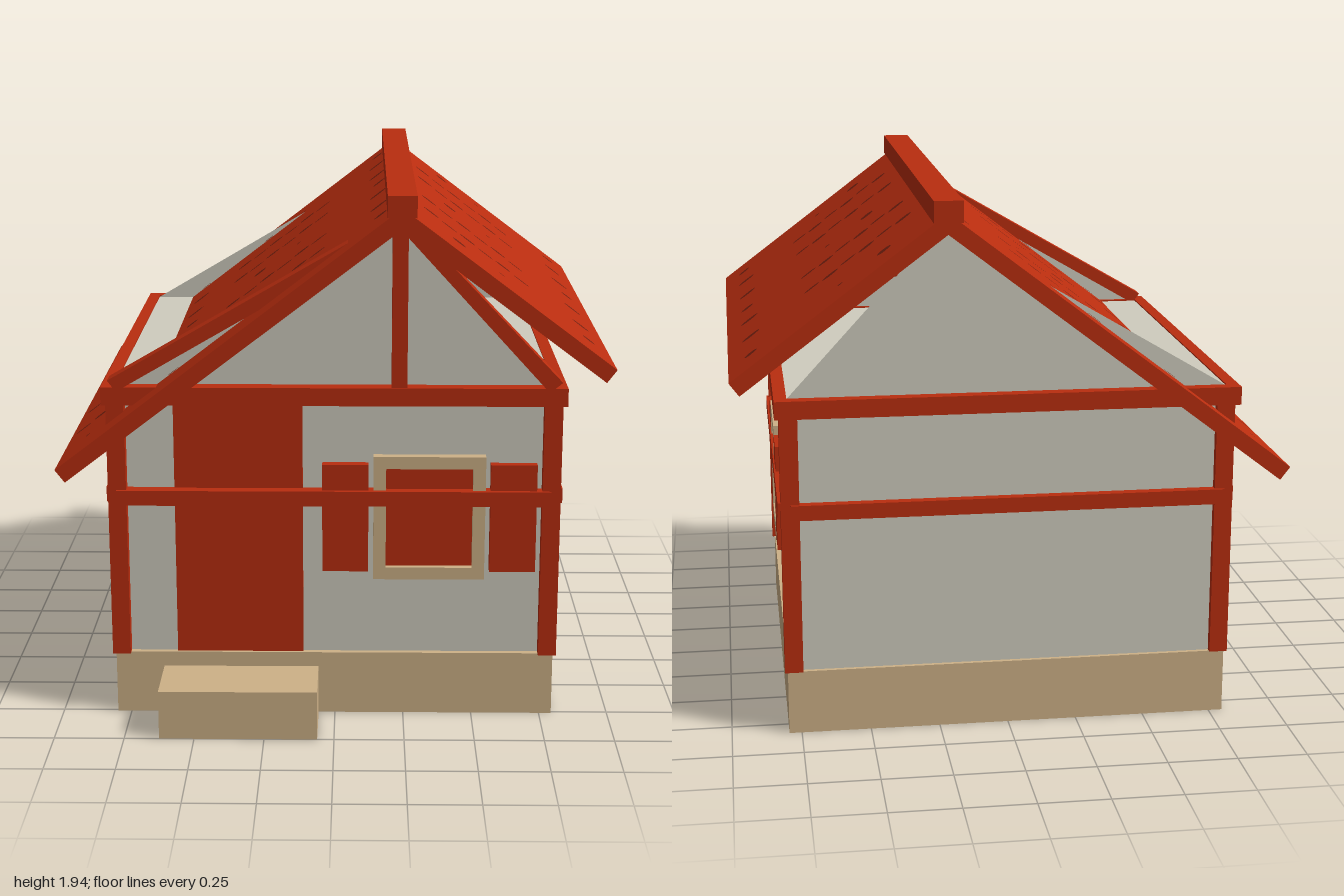
import * as THREE from 'three';

const material = (name, color) => {
  const m = new THREE.MeshStandardMaterial({ color, side: THREE.DoubleSide });
  m.name = name;
  return m;
};

export function createModel() {
  const red = material('red timber', 0xb92d0f);
  const cream = material('cream plaster', 0xcfccbe);
  const tan = material('tan stone', 0xcdb187);
  const brown = material('dark tile marks', 0x73200f);
  const house = new THREE.Group();
  house.name = 'house';

  // Box given by its limits on each axis
  const box = (name, mat, [x0, x1], [y0, y1], [z0, z1], parent = house) => {
    const mesh = new THREE.Mesh(new THREE.BoxGeometry(x1 - x0, y1 - y0, z1 - z0), mat);
    mesh.position.set((x0 + x1) / 2, (y0 + y1) / 2, (z0 + z1) / 2);
    mesh.name = name;
    parent.add(mesh);
    return mesh;
  };

  // Base, step and walls
  box('foundation', tan, [-0.8, 0.795], [0, 0.235], [-0.83, 0.76]);
  box('frontStep', tan, [-0.625, -0.06], [0, 0.18], [0.76, 1]);
  box('walls', cream, [-0.78, 0.775], [0.235, 1.235], [-0.815, 0.74]);

  // Thin gable walls
  const gable = new THREE.Shape([
    new THREE.Vector2(-0.78, 1.235), new THREE.Vector2(0.775, 1.235), new THREE.Vector2(0.23, 1.83),
  ]);
  for (const [name, z] of [['frontGable', 0.735], ['backGable', -0.81]]) {
    const mesh = new THREE.Mesh(new THREE.ShapeGeometry(gable), cream);
    mesh.position.z = z;
    mesh.name = name;
    house.add(mesh);
  }

  // Corner posts
  for (const x of [[-0.81, -0.745], [0.74, 0.805]])
    for (const z of [[0.71, 0.78], [-0.84, -0.77]])
      box('cornerPost', red, x, [0.235, 1.18], z);

  // Top beams and middle rails
  const top = [1.175, 1.24], mid = [0.805, 0.86];
  box('frontTopBeam', red, [-0.825, 0.82], top, [0.72, 0.79]);
  box('backTopBeam', red, [-0.825, 0.82], top, [-0.865, -0.82]);
  box('rightTopBeam', red, [-0.825, -0.78], top, [-0.85, 0.78]);
  box('leftTopBeam', red, [0.775, 0.82], top, [-0.85, 0.78]);
  box('frontRail', red, [-0.78, 0.77], mid, [0.73, 0.79]);
  box('backRail', red, [-0.78, 0.77], mid, [-0.85, -0.8]);
  box('rightRail', red, [-0.82, -0.77], mid, [-0.81, 0.74]);
  box('leftRail', red, [0.765, 0.815], mid, [-0.81, 0.74]);

  // Front gable timbers
  box('gablePost', red, [0.2, 0.255], [1.24, 1.82], [0.72, 0.785]);
  const rafter = (name, points) => {
    const shape = new THREE.Shape(points.map(([x, y]) => new THREE.Vector2(x, y)));
    const geo = new THREE.ExtrudeGeometry(shape, { depth: 0.07, bevelEnabled: false });
    const mesh = new THREE.Mesh(geo, red);
    mesh.position.z = 0.72;
    mesh.name = name;
    house.add(mesh);
  };
  rafter('rightRafter', [[-0.77, 1.225], [0.23, 1.805], [0.23, 1.862], [-0.8, 1.265]]);
  rafter('leftRafter', [[0.755, 1.225], [0.8, 1.262], [0.23, 1.862], [0.23, 1.8]]);

  // Door
  box('door', red, [-0.575, -0.115], [0.235, 1.175], [0.735, 0.749]);

  // Window facing +z around its own centre, with frame, pane and shutters
  const makeWindow = (name) => {
    const g = new THREE.Group();
    g.name = name;
    for (const s of [-1, 1]) {
      box('frameSide', tan, s < 0 ? [-0.2, -0.155] : [0.155, 0.2], [-0.23, 0.23], [-0.01, 0.035], g);
      box('frameRail', tan, [-0.155, 0.155], s < 0 ? [-0.23, -0.185] : [0.185, 0.23], [-0.01, 0.035], g);
      box('shutter', red, s < 0 ? [-0.383, -0.218] : [0.218, 0.383], [-0.2, 0.2], [-0.01, 0.035], g);
    }
    box('pane', red, [-0.155, 0.155], [-0.185, 0.185], [-0.01, 0.012], g);
    house.add(g);
    return g;
  };
  makeWindow('frontWindow').position.set(0.338, 0.755, 0.74);
  const sideWindow = makeWindow('leftWindow');
  sideWindow.position.set(0.775, 0.755, -0.033);
  sideWindow.rotation.y = Math.PI / 2;

  // Roof slopes; x runs along each slope away from the ridge line
  const ridgeX = 0.23, ridgeY = 1.896, thick = 0.057;
  const disc = new THREE.CircleGeometry(1, 9).rotateX(-Math.PI / 2);
  const slope = (name, side, endX, endY) => {
    const run = Math.abs(endX - ridgeX);
    const length = Math.hypot(run, ridgeY - endY);
    const g = new THREE.Group();
    g.name = name;
    g.position.set(ridgeX, ridgeY, 0);
    g.rotation.z = -side * Math.atan2(ridgeY - endY, run);
    box('roofSlab', red, side > 0 ? [0, length] : [-length, 0], [-thick, 0], [-0.987, 0.918], g);

    // Flat dark mark at a world x, on the top and the underside
    const mark = (x, z, rx, rz) => {
      const u = (x - ridgeX) * length / run;
      if (Math.abs(u) > length - rx || u * side < 0.08) return;
      for (const y of [0.003, -thick - 0.003]) {
        const mesh = new THREE.Mesh(disc, brown);
        mesh.position.set(u, y, z);
        mesh.scale.set(rx, 1, rz);
        mesh.name = 'tileMark';
        g.add(mesh);
      }
    };
    for (const start of [-1.15, -0.42, 0.31]) {
      // Wavy rows of lumps
      for (const z of [-0.55, -0.27, 0.225, 0.51]) {
        for (let i = 0; i < 6; i++)
          mark(start + 0.03 + i * 0.065, z + (i % 2 ? 0.01 : -0.008), 0.036, i % 2 ? 0.012 : 0.018);
        mark(start + 0.575, z, 0.04, 0.018);
      }
      // Single spots
      for (const z of [-0.815, -0.04, 0.73]) {
        mark(start + 0.12, z, 0.03, 0.022);
        mark(start + 0.27, z, 0.012, 0.008);
        mark(start + 0.58, z, 0.028, 0.018);
      }
    }
    house.add(g);
  };
  slope('leftRoof', 1, 0.97, 1.34);
  slope('rightRoof', -1, -0.975, 0.975);
  box('ridgeBeam', red, [0.18, 0.28], [1.865, 1.94], [-1, 0.93]);

  return house;
}
